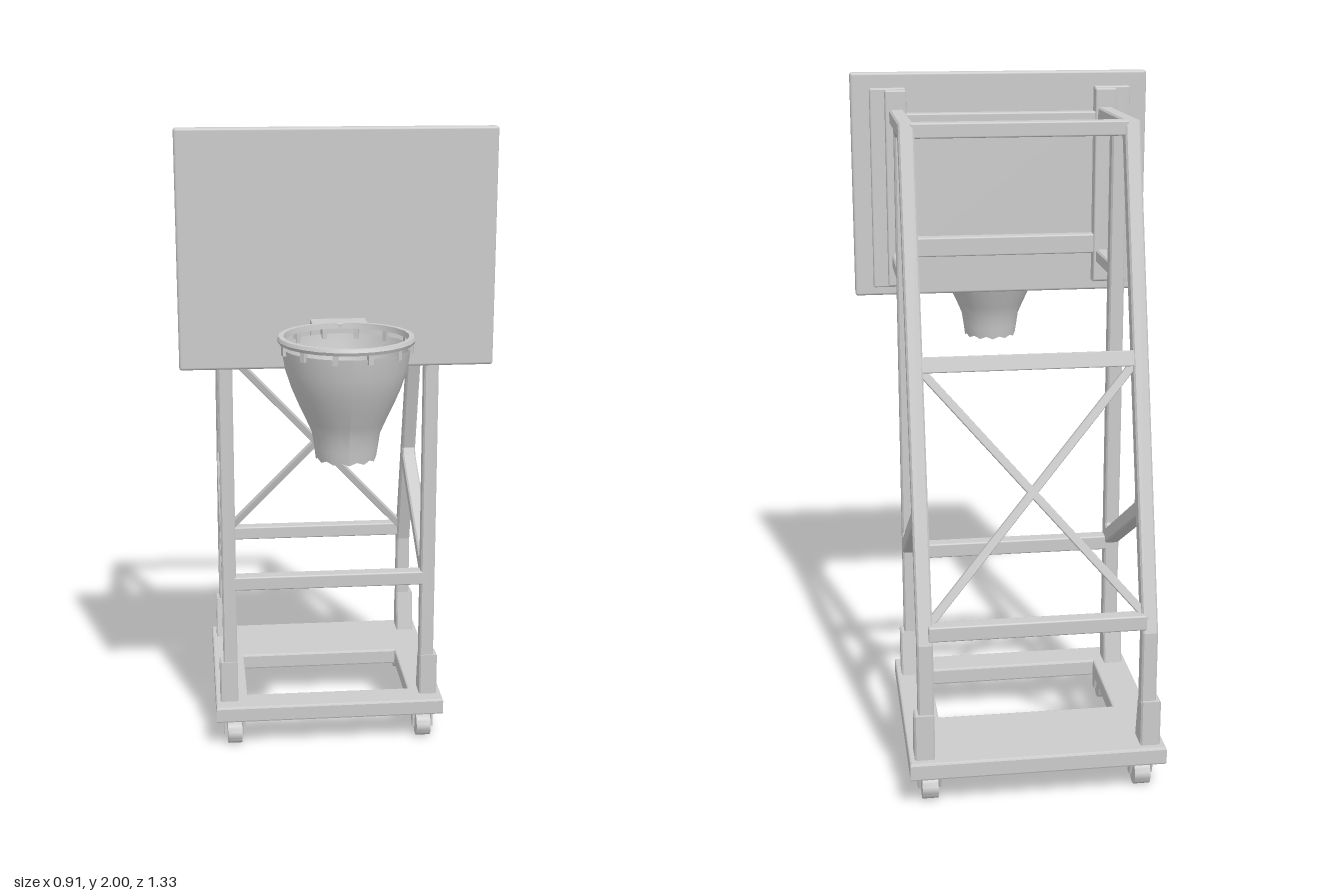
import * as THREE from 'three';
import { RoundedBoxGeometry } from 'three/addons/geometries/RoundedBoxGeometry.js';
import { toCreasedNormals } from 'three/addons/utils/BufferGeometryUtils.js';

const grey = new THREE.MeshStandardMaterial({ color: 0xcccccc });
const greyThin = new THREE.MeshStandardMaterial({ color: 0xcccccc, side: THREE.DoubleSide });
const V = (x, y, z) => new THREE.Vector3(x, y, z);

export function createModel() {
  const model = new THREE.Group();
  model.name = 'portableBasketballHoop';

  const add = (name, geometry, material = grey) => {
    const mesh = new THREE.Mesh(geometry, material);
    mesh.name = name;
    model.add(mesh);
    return mesh;
  };

  // Softly rounded box given by its lower and upper limits
  const block = (name, x0, x1, y0, y1, z0, z1, r = 0.005) => {
    const mesh = add(name, new RoundedBoxGeometry(x1 - x0, y1 - y0, z1 - z0, 2, r));
    mesh.position.set((x0 + x1) / 2, (y0 + y1) / 2, (z0 + z1) / 2);
    return mesh;
  };

  // Straight bar between two points, turned so its depth follows the given normal
  const bar = (name, a, b, width, depth, normal) => {
    const dir = b.clone().sub(a);
    const mesh = add(name, new RoundedBoxGeometry(dir.length(), width, depth, 1, 0.003));
    dir.normalize();
    const side = normal.clone().cross(dir).normalize();
    const out = dir.clone().cross(side);
    mesh.quaternion.setFromRotationMatrix(new THREE.Matrix4().makeBasis(dir, side, out));
    mesh.position.copy(a).add(b).multiplyScalar(0.5);
    return mesh;
  };

  // Plate drawn in the z-y plane and given a thickness along x
  const sidePlate = (name, points, x, thickness, holes = [], bevel = 0.005) => {
    const toV2 = (list) => list.map(([z, y]) => new THREE.Vector2(z, y));
    const shape = new THREE.Shape(toV2(points));
    shape.holes = holes.map((h) => new THREE.Path(toV2(h)));
    const g = new THREE.ExtrudeGeometry(shape, {
      depth: thickness - 2 * bevel, bevelEnabled: true,
      bevelThickness: bevel, bevelSize: bevel, bevelOffset: -bevel, bevelSegments: 1,
    });
    g.translate(0, 0, bevel - thickness / 2);
    g.rotateY(-Math.PI / 2);
    add(name, g).position.x = x;
  };

  // Cuts each corner of an outline
  const chamfer = (points, cut) => points.flatMap(([z, y], i) => {
    const n = points.length;
    return [points[(i + n - 1) % n], points[(i + 1) % n]].map(([pz, py]) => {
      const k = cut / Math.hypot(pz - z, py - y);
      return [z + (pz - z) * k, y + (py - y) * k];
    });
  });

  // Base plate with a rectangular opening
  const rect = (target, x0, x1, y0, y1) => {
    target.moveTo(x0, y0).lineTo(x1, y0).lineTo(x1, y1).lineTo(x0, y1).closePath();
    return target;
  };
  const baseShape = rect(new THREE.Shape(), -0.37, 0.37, -0.025, 0.665);
  baseShape.holes.push(rect(new THREE.Path(), -0.265, 0.265, 0.075, 0.39));
  const baseGeo = new THREE.ExtrudeGeometry(baseShape, {
    depth: 0.041, bevelThickness: 0.006, bevelSize: 0.006, bevelOffset: -0.006, bevelSegments: 2,
  });
  baseGeo.rotateX(-Math.PI / 2);
  add('basePlate', baseGeo).position.y = 0.101;

  // Side frames: front post, sloping rear leg, arms and diagonal strut in one outline
  const outline = [
    [-0.028, 0.14], [-0.028, 1.41], [0.156, 1.41], [0.156, 1.452], [-0.028, 1.452],
    [-0.028, 1.85], [0.156, 1.85], [0.156, 1.893], [-0.247, 1.893], [-0.633, 0.495],
    [-0.633, 0.14], [-0.59, 0.14], [-0.59, 0.49], [-0.503, 0.8], [-0.072, 0.553], [-0.072, 0.14],
  ];
  const opening = chamfer([[-0.072, 0.605], [-0.072, 1.85], [-0.209, 1.85], [-0.49, 0.845]], 0.015);

  for (const s of [-1, 1]) {
    sidePlate('sideFrame', outline, s * 0.32, 0.045, [opening]);

    // Tapered sockets at the feet of the posts
    sidePlate('frontSocket', [[-0.024, 0.145], [-0.024, 0.285], [-0.075, 0.285], [-0.1, 0.145]],
      s * 0.326, 0.058);
    sidePlate('rearSocket', [[-0.642, 0.145], [-0.642, 0.285], [-0.59, 0.285], [-0.565, 0.145]],
      s * 0.326, 0.058);

    // Upright pads behind the board
    block('boardPad', Math.min(s * 0.29, s * 0.4), Math.max(s * 0.29, s * 0.4), 1.345, 1.955, 0.175, 0.2);
    block('boardMount', Math.min(s * 0.29, s * 0.355), Math.max(s * 0.29, s * 0.355), 1.352, 1.95, 0.153, 0.18);

    // Casters
    for (const z of [-0.034, -0.586]) {
      const wheel = new THREE.CylinderGeometry(0.04, 0.04, 0.046, 24);
      wheel.rotateZ(Math.PI / 2);
      add('wheel', toCreasedNormals(wheel, 0.6)).position.set(s * 0.31, 0.04, z);
      for (const t of [-1, 1]) {
        sidePlate('casterFork', [[z + 0.012, 0.032], [z + 0.014, 0.098], [z - 0.03, 0.098], [z - 0.008, 0.032]],
          s * 0.31 + t * 0.03, 0.008, [], 0.001);
      }
      block('casterTop', s * 0.31 - 0.035, s * 0.31 + 0.035, 0.083, 0.098, z - 0.03, z + 0.018, 0.002);
    }
  }

  // Cross members between the side frames
  block('frontCrossbar', -0.31, 0.31, 0.53, 0.575, -0.072, -0.028);
  block('rearLowerCrossbar', -0.31, 0.31, 0.505, 0.55, -0.633, -0.59);
  block('rearTopCrossbar', -0.31, 0.31, 1.85, 1.893, -0.25, -0.205);
  const slopeNormal = V(0, 0.386, -1.398).normalize();
  bar('rearUpperCrossbar', V(-0.31, 1.242, -0.403), V(0.31, 1.242, -0.403), 0.045, 0.042, slopeNormal);
  for (const s of [-1, 1]) {
    bar('crossBrace', V(-s * 0.305, 0.545, -0.597), V(s * 0.305, 1.23, -0.406), 0.024, 0.02, slopeNormal);
  }

  // Backboard and its rear rails
  block('backboard', -0.457, 0.457, 1.315, 2, 0.198, 0.235, 0.008);
  block('upperBoardRail', -0.3, 0.3, 1.835, 1.88, 0.158, 0.2);
  block('lowerBoardRail', -0.3, 0.3, 1.44, 1.5, 0.158, 0.2);

  // Rim with its bracket
  const cz = 0.475;
  block('rimMountPlate', -0.08, 0.08, 1.335, 1.46, 0.23, 0.246, 0.004);
  block('rimBracket', -0.08, 0.08, 1.444, 1.461, 0.235, 0.305, 0.004);
  const rimProfile = [[0.17, 1.445], [0.186, 1.443], [0.19, 1.452], [0.186, 1.461], [0.172, 1.461], [0.17, 1.445]];
  const rim = new THREE.LatheGeometry(rimProfile.map(([r, y]) => new THREE.Vector2(r, y)), 24);
  add('rim', toCreasedNormals(rim, 0.6)).position.z = cz;

  // Net hooks
  for (let i = 0; i < 12; i++) {
    const a = ((i + 0.5) / 12) * Math.PI * 2;
    const hook = add('netHook', new THREE.BoxGeometry(0.014, 0.03, 0.014));
    hook.position.set(Math.sin(a) * 0.178, 1.432, cz + Math.cos(a) * 0.178);
    hook.rotation.y = a;
  }

  // Net with a scalloped lower edge
  const netProfile = [[0.084, 1.113], [0.089, 1.15], [0.095, 1.19], [0.11, 1.225], [0.131, 1.27],
    [0.152, 1.32], [0.168, 1.37], [0.178, 1.43]];
  const net = new THREE.LatheGeometry(netProfile.map(([r, y]) => new THREE.Vector2(r, y)), 24);
  const p = net.attributes.position;
  for (let i = 0; i < p.count; i += netProfile.length) {
    if ((i / netProfile.length) % 2) p.setY(i, 1.121);
  }
  net.computeVertexNormals();
  add('net', net, greyThin).position.z = cz;

  return model;
}
